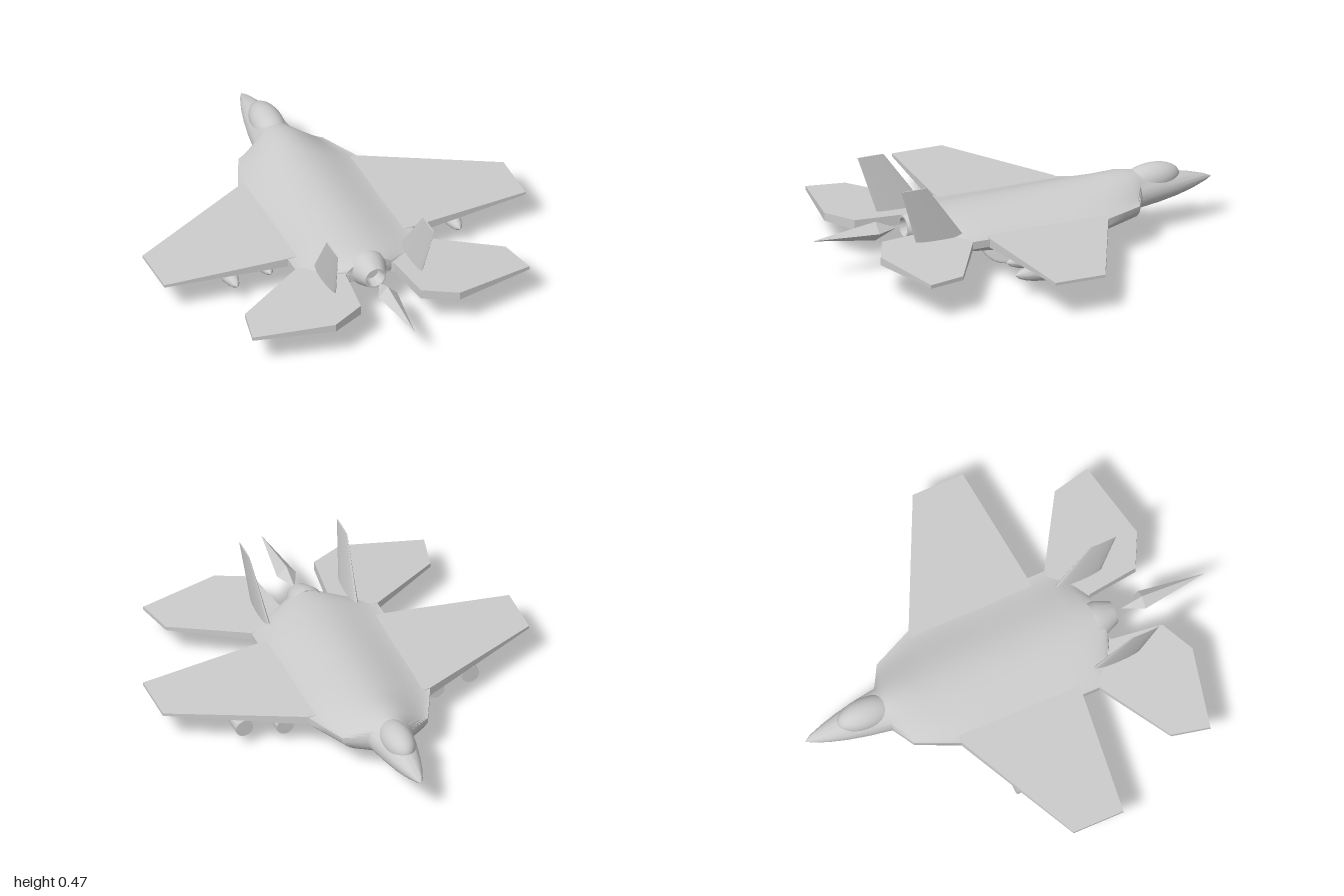
import * as THREE from 'three';
import { toCreasedNormals } from 'three/addons/utils/BufferGeometryUtils.js';

const material = new THREE.MeshStandardMaterial({ color: 0xcccccc });
const openMaterial = new THREE.MeshStandardMaterial({ color: 0xcccccc, side: THREE.DoubleSide });

// Skin a list of closed rings (counter-clockwise seen from the last ring) and cap both ends
function loft(rings, crease = 0.6) {
  const n = rings[0].length, pos = [], index = [];
  rings.forEach(r => r.forEach(p => pos.push(...p)));
  for (let i = 0; i < rings.length - 1; i++) {
    for (let j = 0; j < n; j++) {
      const a = i * n + j, b = i * n + (j + 1) % n;
      index.push(a, b, a + n, b, b + n, a + n);
    }
  }
  const cap = (start, flip) => {
    const c = [0, 1, 2].map(k => rings[start / n].reduce((s, p) => s + p[k], 0) / n);
    const centre = pos.length / 3;
    pos.push(...c);
    for (let j = 0; j < n; j++) {
      const a = start + j, b = start + (j + 1) % n;
      index.push(centre, ...(flip ? [b, a] : [a, b]));
    }
  };
  cap(0, true);
  cap((rings.length - 1) * n, false);
  const g = new THREE.BufferGeometry();
  g.setAttribute('position', new THREE.Float32BufferAttribute(pos, 3));
  g.setIndex(index);
  return toCreasedNormals(g, crease);
}

// Flat panel with outline in x/z; mid height and half thickness vary linearly with x
function panel(outline, mid, half) {
  const shape = new THREE.Shape(outline.map(p => new THREE.Vector2(...p)));
  const g = new THREE.ExtrudeGeometry(shape, { depth: 2, bevelEnabled: false });
  g.translate(0, 0, -1).rotateX(Math.PI / 2);
  const p = g.attributes.position;
  for (let i = 0; i < p.count; i++) p.setY(i, mid(p.getX(i)) + p.getY(i) * half(p.getX(i)));
  g.computeVertexNormals();
  return g;
}

// Mirror across x = 0, restoring the winding of each triangle
function mirrored(source) {
  const g = source.index ? source.toNonIndexed() : source.clone();
  for (const name of ['position', 'normal']) {
    const a = g.attributes[name];
    for (let i = 0; i < a.count; i += 3) {
      const v = [0, 2, 1].map(k => [-a.getX(i + k), a.getY(i + k), a.getZ(i + k)]);
      v.forEach((q, k) => a.setXYZ(i + k, ...q));
    }
  }
  return g;
}

// Fuselage section: bell-shaped top, fuller belly, thin side wall at the edge
function bodyRing([z, w, top, bottom, edge, wall, blend]) {
  const ring = [], half = 20, lerp = THREE.MathUtils.lerp;
  const topPower = lerp(0.5, 2, blend), belly = lerp(2, 4.5, blend), bellyPower = lerp(0.5, 1, blend);
  for (let i = 0; i <= half; i++) {
    const t = Math.cos(i / half * Math.PI);
    ring.push([w * t, edge + wall + (top - edge - wall) * Math.pow(Math.max(0, 1 - t * t), topPower), z]);
  }
  for (let i = 0; i <= half; i++) {
    const t = -Math.cos(i / half * Math.PI);
    const f = Math.pow(Math.max(0, 1 - Math.pow(Math.abs(t), belly)), bellyPower);
    ring.push([w * t, edge - wall + (bottom - edge + wall) * f, z]);
  }
  return ring;
}

export function createModel() {
  const model = new THREE.Group();
  const add = (name, geometry, mat = material) => {
    const mesh = new THREE.Mesh(geometry, mat);
    mesh.name = name;
    model.add(mesh);
  };
  const addPair = (name, geometry) => {
    add(name + 'Left', geometry);
    add(name + 'Right', mirrored(geometry));
  };

  // Fuselage: z, half width, top, bottom, edge height, edge half wall, blend into wing
  const sections = [
    [-1, 0.002, 0.202, 0.198, 0.2, 0.0005, 0], [-0.97, 0.02, 0.216, 0.184, 0.2, 0.001, 0],
    [-0.9, 0.045, 0.236, 0.16, 0.197, 0.001, 0], [-0.82, 0.067, 0.253, 0.14, 0.193, 0.002, 0],
    [-0.72, 0.088, 0.268, 0.123, 0.19, 0.003, 0], [-0.61, 0.106, 0.29, 0.112, 0.187, 0.006, 0.1],
    [-0.55, 0.21, 0.298, 0.106, 0.184, 0.012, 0.75], [-0.45, 0.255, 0.29, 0.098, 0.182, 0.014, 0.9],
    [-0.35, 0.3, 0.284, 0.092, 0.18, 0.018, 1], [-0.2, 0.305, 0.277, 0.086, 0.18, 0.018, 1],
    [0, 0.305, 0.27, 0.084, 0.18, 0.018, 1], [0.2, 0.31, 0.266, 0.092, 0.18, 0.018, 1],
    [0.335, 0.31, 0.262, 0.112, 0.18, 0.018, 1], [0.41, 0.24, 0.259, 0.125, 0.182, 0.016, 0.7],
    [0.47, 0.118, 0.252, 0.138, 0.19, 0.006, 0.05],
  ];
  add('fuselage', loft(sections.map(bodyRing)));

  // Canopy bubble
  const canopy = new THREE.SphereGeometry(1, 32, 20);
  canopy.scale(0.074, 0.073, 0.143).rotateX(0.08).translate(0, 0.236, -0.697);
  add('canopy', canopy);

  // Main wings
  addPair('wing', panel(
    [[0.2, -0.36], [0.3, -0.35], [0.9, -0.06], [0.9, 0.19], [0.31, 0.25], [0.2, 0.25]],
    x => 0.181 - 0.005 * x, x => 0.03 - 0.026 * x));

  // Horizontal tails
  addPair('tailplane', panel(
    [[0.1, 0.36], [0.31, 0.335], [0.65, 0.54], [0.69, 0.72], [0.31, 0.8], [0.15, 0.72], [0.12, 0.48], [0.1, 0.46]],
    x => 0.184 - 0.014 * x, x => 0.028 - 0.028 * x));

  // Vertical tails with lens-shaped sections: y, front z, rear z, x, half thickness
  const finRing = ([y, z0, z1, x, t]) => Array.from({ length: 24 }, (_, i) => {
    const a = i / 24 * Math.PI * 2;
    return [x + t * Math.sin(a), y, (z0 + z1) / 2 + (z1 - z0) / 2 * Math.cos(a)];
  });
  addPair('verticalTail', loft([
    [0.18, 0.325, 0.573, 0.214, 0.018], [0.47, 0.535, 0.665, 0.24, 0.003],
  ].map(finRing)));

  // Splayed belly strakes with rounded lower corners
  const strake = new THREE.Shape();
  strake.moveTo(-0.38, 0.11);
  strake.quadraticCurveTo(-0.32, 0.075, -0.29, 0.04);
  strake.quadraticCurveTo(-0.26, 0.012, -0.2, 0.01);
  strake.lineTo(0.08, 0.01);
  strake.quadraticCurveTo(0.17, 0.012, 0.2, 0.09);
  strake.lineTo(0.21, 0.11);
  const strakeGeo = new THREE.ExtrudeGeometry(strake, {
    depth: 0.012, bevelSize: 0.01, bevelThickness: 0.009, bevelSegments: 4, curveSegments: 8,
  });
  strakeGeo.rotateY(-Math.PI / 2).translate(0.153, 0, 0);
  const sp = strakeGeo.attributes.position;
  for (let i = 0; i < sp.count; i++) sp.setX(i, sp.getX(i) - 0.42 * sp.getY(i));
  addPair('bellyStrake', toCreasedNormals(strakeGeo, 0.7));

  // Underwing stores: blunt ahead, pointed aft, with thin joint bands
  const podProfile = [
    [0, -0.205], [0.042, -0.205], [0.042, -0.1], [0.044, -0.099], [0.044, -0.091], [0.042, -0.09],
    [0.042, 0.09], [0.044, 0.091], [0.044, 0.099], [0.042, 0.1], [0.039, 0.14], [0.031, 0.18], [0.018, 0.215], [0, 0.235],
  ].map(p => new THREE.Vector2(...p));
  for (const [name, x, y, z] of [['innerStore', 0.37, 0.094, -0.04], ['outerStore', 0.555, 0.104, 0]]) {
    const pod = new THREE.LatheGeometry(podProfile, 28);
    pod.rotateX(Math.PI / 2).translate(x, y, z);
    addPair(name, toCreasedNormals(pod, 0.6));
  }

  // Engine nozzle with a recessed throat
  const nozzleProfile = [[0.085, 0.44], [0.085, 0.47], [0.052, 0.545], [0.044, 0.545], [0.035, 0.49], [0, 0.49]]
    .map(p => new THREE.Vector2(...p));
  const nozzle = new THREE.LatheGeometry(nozzleProfile, 32);
  nozzle.rotateX(Math.PI / 2).translate(0, 0.198, 0);
  add('nozzle', toCreasedNormals(nozzle, 0.5), openMaterial);

  // Four-sided exhaust plume
  const plume = new THREE.LatheGeometry(
    [[0, 0.58], [0.046, 0.685], [0, 1]].map(p => new THREE.Vector2(...p)), 4);
  plume.rotateX(Math.PI / 2).translate(0, 0.2, 0);
  add('exhaustPlume', toCreasedNormals(plume, 0.1));

  return model;
}
